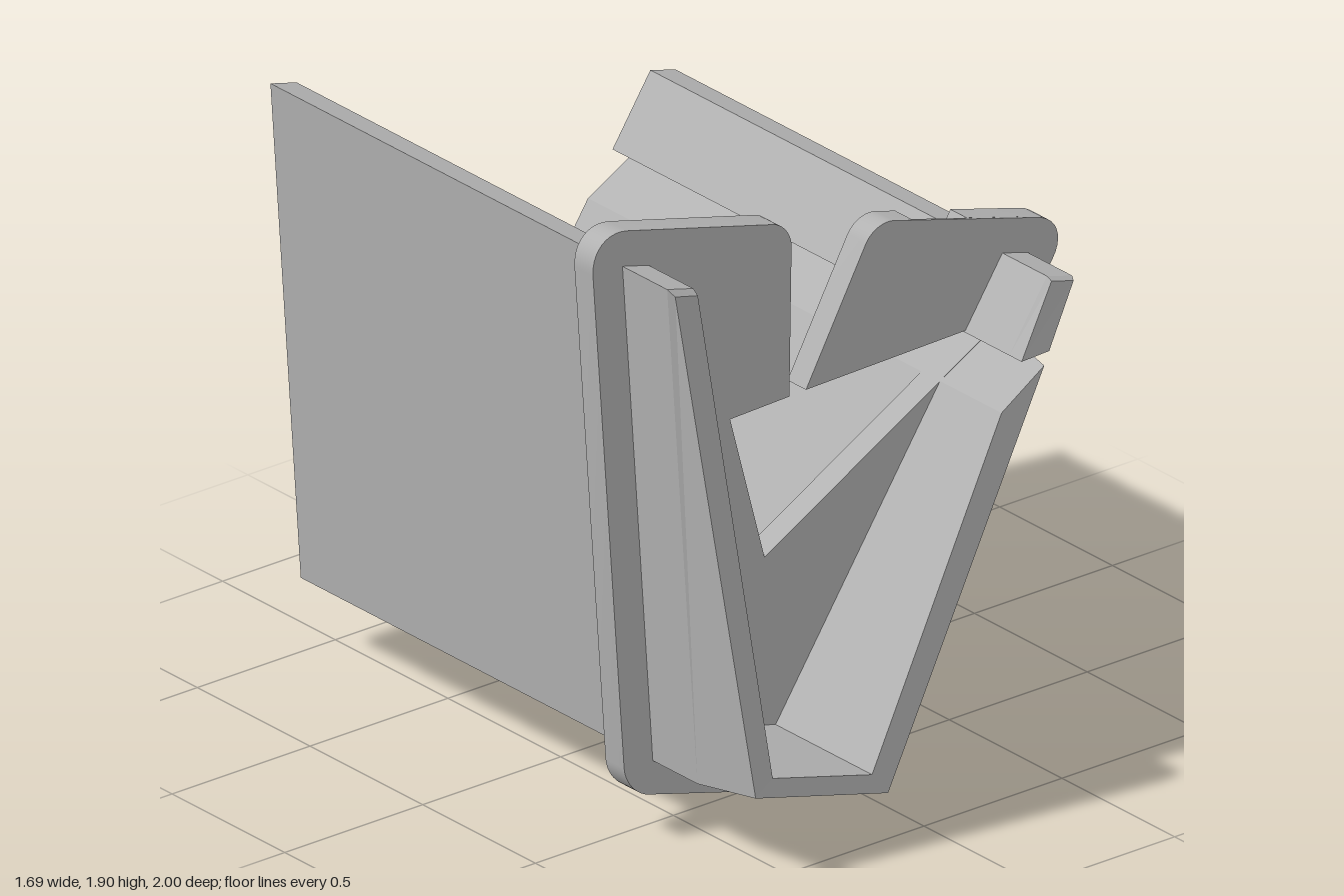
import * as THREE from 'three';
import { toCreasedNormals } from 'three/addons/utils/BufferGeometryUtils.js';

// Closed shape from [x, y, cornerLength] points; a missing length is a sharp corner.
function roundedShape(points) {
  const shape = new THREE.Shape();
  const n = points.length;
  points.forEach(([x, y, r = 0], i) => {
    const p = new THREE.Vector2(x, y);
    const toward = (q, d) => p.clone().add(new THREE.Vector2(q[0] - x, q[1] - y).setLength(d));
    const prev = points[(i + n - 1) % n];
    const next = points[(i + 1) % n];
    const a = toward(prev, r);
    if (i === 0) shape.moveTo(a.x, a.y);
    else shape.lineTo(a.x, a.y);
    if (r > 0) {
      const b = toward(next, r), c1 = toward(prev, r * 0.45), c2 = toward(next, r * 0.45);
      shape.bezierCurveTo(c1.x, c1.y, c2.x, c2.y, b.x, b.y);
    }
  });
  return shape;
}

// Long prism from [x, y, frontX, frontY, frontZ] points: straight to z = 0.76, then tapered to its raked front.
function channelGeometry(section) {
  const shape = new THREE.Shape(section.map(([x, y]) => new THREE.Vector2(x, y)));
  const geo = new THREE.ExtrudeGeometry(shape, { depth: 1, steps: 2, bevelEnabled: false });
  const pos = geo.attributes.position;
  for (let i = 0; i < pos.count; i++) {
    const x = pos.getX(i), y = pos.getY(i), layer = pos.getZ(i);
    if (layer < 0.25) pos.setZ(i, -1);
    else if (layer < 0.75) pos.setZ(i, 0.76);
    else {
      const p = section.find(s => Math.hypot(s[0] - x, s[1] - y) < 1e-4);
      pos.setXYZ(i, p[2], p[3], p[4]);
    }
  }
  const flat = geo.toNonIndexed();
  flat.computeVertexNormals();
  return flat;
}

export function createModel() {
  const model = new THREE.Group();
  const grey = new THREE.MeshStandardMaterial({ color: 0xb2b2b2 });
  grey.name = 'plain grey';

  const add = (name, geometry) => {
    const mesh = new THREE.Mesh(geometry, grey);
    mesh.name = name;
    model.add(mesh);
  };
  const addPlate = (name, points, z0, z1) => {
    const geo = new THREE.ExtrudeGeometry(roundedShape(points), {
      depth: z1 - z0, bevelEnabled: false, curveSegments: 10,
    });
    geo.translate(0, 0, z0);
    add(name, toCreasedNormals(geo, 0.5));
  };

  // Channel: tall wall, floor and the lower part of the sloping wall
  add('channelTrough', channelGeometry([
    [-0.735, 1.805, -0.722, 1.785, 0.78],
    [-0.625, 0.24, -0.61, 0.277, 1],
    [-0.14, 0.11, -0.13, 0.152, 1],
    [0.592, 1.206, 0.583, 1.2, 0.82],
    [0.416, 1.108, 0.416, 1.108, 0.835],
    [-0.18, 0.22, -0.18, 0.22, 0.99],
    [-0.54, 0.315, -0.54, 0.315, 0.99],
    [-0.64, 1.78, -0.64, 1.765, 0.78],
  ]));

  // Sloping wall above the slot
  add('upperWallRail', channelGeometry([
    [0.505, 1.233, 0.505, 1.233, 0.815],
    [0.613, 1.237, 0.605, 1.237, 0.815],
    [0.733, 1.413, 0.722, 1.408, 0.78],
    [0.642, 1.438, 0.642, 1.43, 0.78],
  ]));

  // Cross plate outline, from the tall lobe down and around to the short lobe
  const mainEdge = [
    [-0.13, 1.222],
    [-0.121, 1.755, 0.07],
    [-0.852, 1.945, 0.14],
    [-0.723, 0.162, 0.085],
    [-0.098, -0.007, 0.08],
    [0.897, 1.475, 0.13],
  ];
  const notch = [[0.65, 1.24], [-0.22, 0.75], [-0.345, 1.215]];
  const lobeTop = [0.181, 1.674, 0.07];
  const lobeFoot = [-0.07, 1.225];
  const back = 0.48, skin = 0.553, front = 0.562;

  // Thin front skin, then the thick body with a slanted groove open at the back
  addPlate('plateFrontSkin', [...mainEdge, lobeTop, lobeFoot, ...notch], skin, front);
  addPlate('plateBody', [...mainEdge, [0.52, 1.58], [0.32, 1.233], ...notch], back, skin);
  addPlate('plateLobeEdge', [lobeFoot, [0.105, 1.229], [0.32, 1.635], lobeTop], back, skin);

  return model;
}
